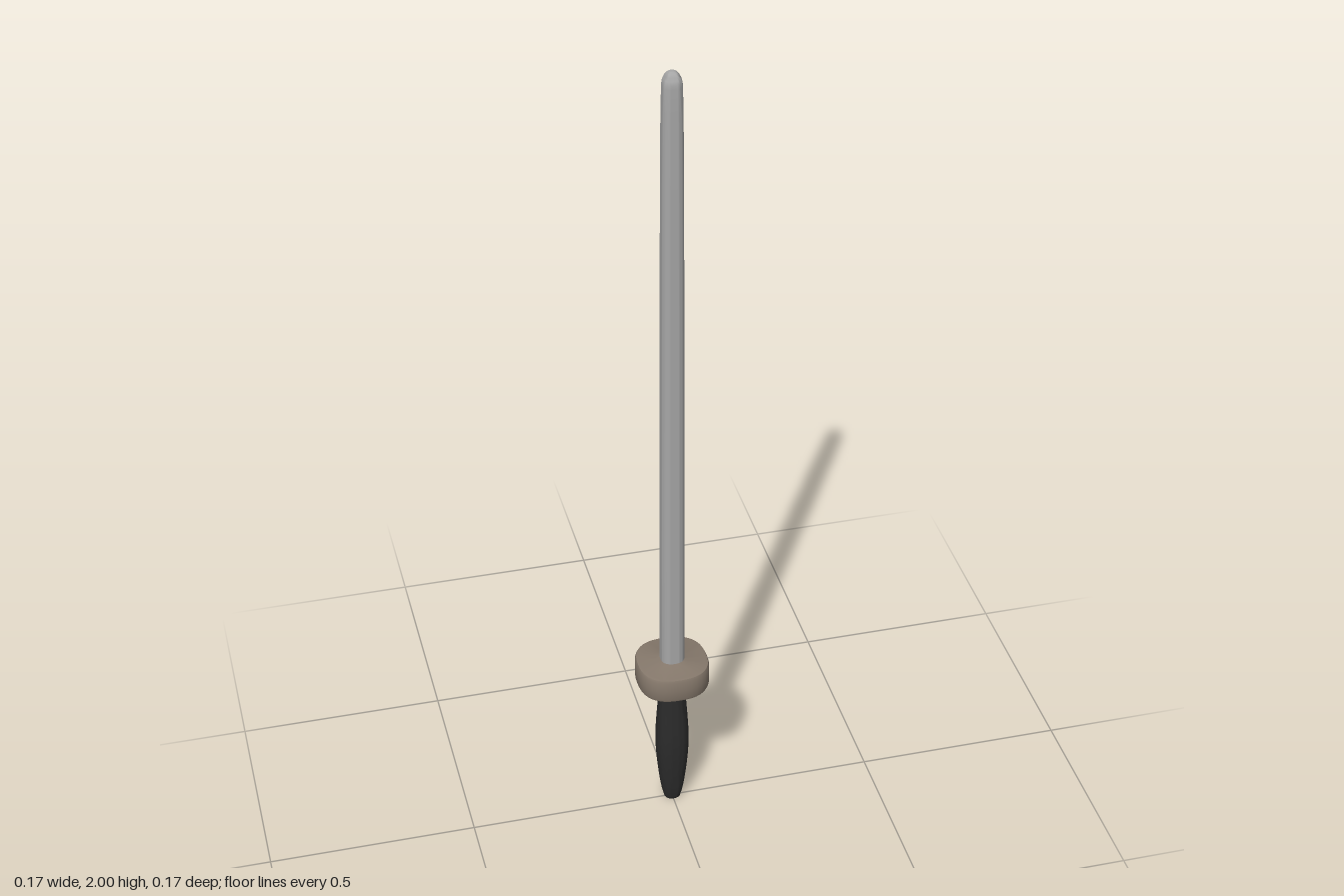
import * as THREE from 'three';
import { mergeVertices, toCreasedNormals } from 'three/addons/utils/BufferGeometryUtils.js';

// Turned profile of [radius, height] points (bottom to top), pushed out to a rounded square section
function squaredLathe(name, color, profile, power, crease = 0.6) {
  const lathe = new THREE.LatheGeometry(profile.map(([r, y]) => new THREE.Vector2(r, y)), 40);
  lathe.deleteAttribute('normal');
  lathe.deleteAttribute('uv');
  const p = lathe.attributes.position;
  for (let i = 0; i < p.count; i++) {
    const x = p.getX(i), z = p.getZ(i), r = Math.hypot(x, z);
    if (r < 1e-6) continue;
    const k = Math.pow(Math.pow(Math.abs(x / r), power) + Math.pow(Math.abs(z / r), power), -1 / power);
    p.setX(i, x * k);
    p.setZ(i, z * k);
  }
  const mesh = new THREE.Mesh(
    toCreasedNormals(mergeVertices(lathe, 1e-5), crease),
    new THREE.MeshStandardMaterial({ color })
  );
  mesh.name = name;
  return mesh;
}

export function createModel() {
  const model = new THREE.Group();
  model.name = 'sword';

  // Long, slightly tapering blade with a domed tip
  const blade = [[0, 0.4], [0.029, 0.4], [0.029, 0.7], [0.0275, 1.2], [0.0255, 1.7], [0.024, 1.9], [0.0225, 1.965]];
  for (let i = 1; i <= 6; i++) {
    const a = (i / 6) * Math.PI / 2;
    blade.push([i === 6 ? 0 : 0.0225 * Math.cos(a), 1.965 + 0.035 * Math.sin(a)]);
  }
  model.add(squaredLathe('blade', 0xa6a6a6, blade, 2.4));

  // Thick hand guard with softened rims and a small raised lip at the blade
  model.add(squaredLathe('guard', 0x85786b, [
    [0, 0.366], [0.078, 0.366], [0.084, 0.369], [0.0865, 0.375], [0.087, 0.4],
    [0.0865, 0.425], [0.084, 0.431], [0.078, 0.433], [0.037, 0.434], [0.03, 0.438], [0, 0.438],
  ], 2.5));

  // Swelling grip, flared under the guard and narrowed to a blunt end
  const grip = new THREE.CatmullRomCurve3([
    [0.02, 0.004], [0.026, 0.03], [0.034, 0.09], [0.039, 0.15], [0.04, 0.2],
    [0.037, 0.26], [0.033, 0.32], [0.033, 0.345], [0.041, 0.362],
  ].map(([r, y]) => new THREE.Vector3(r, y, 0))).getPoints(28).map((v) => [v.x, v.y]);
  model.add(squaredLathe('grip', 0x2b2b2b, [[0, 0], [0.016, 0], ...grip, [0.041, 0.37], [0, 0.37]], 2.3));

  return model;
}
